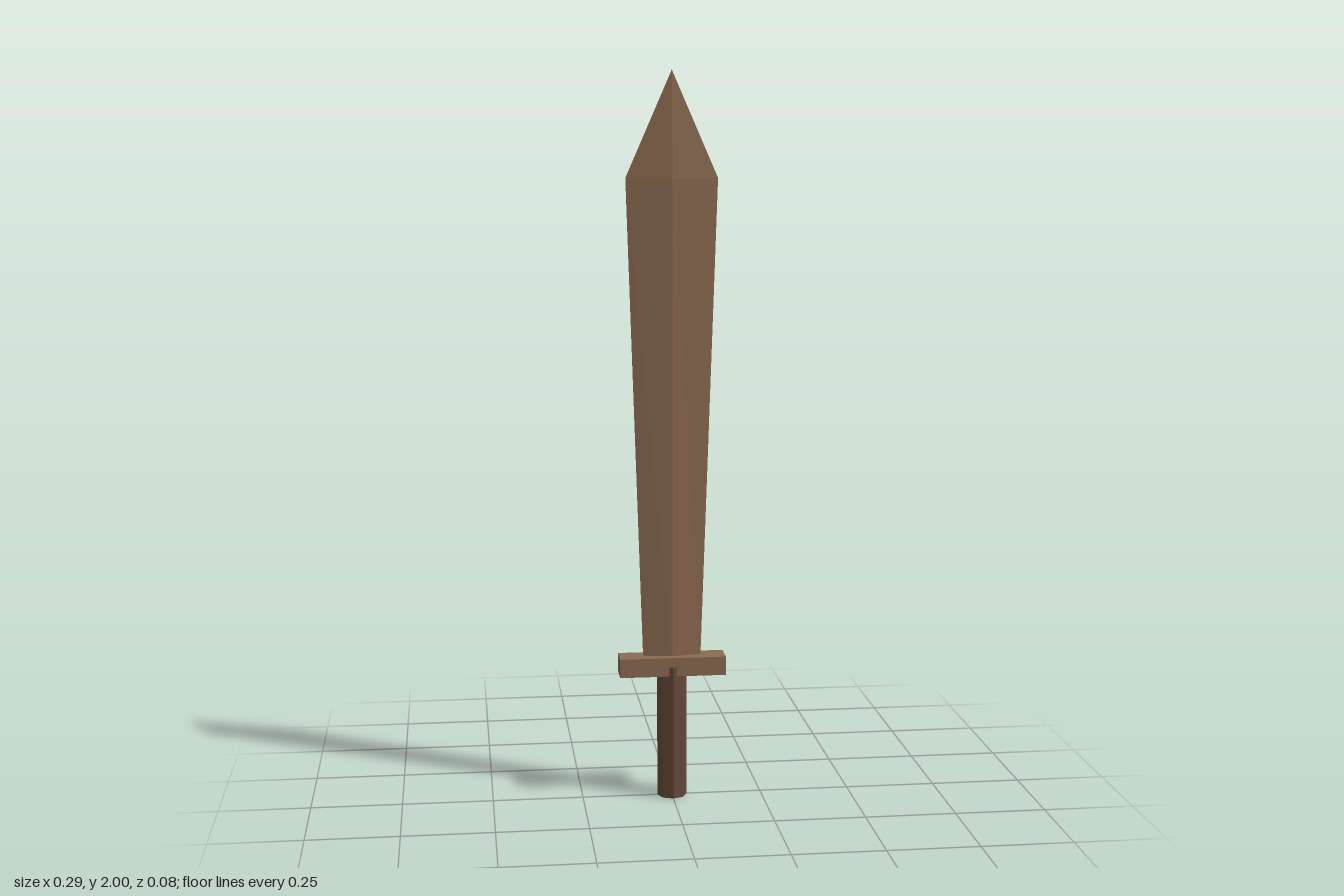
import * as THREE from 'three';

// Loft between diamond cross-sections [y, halfWidth, halfThickness]
function diamondLoft(sections) {
  const ring = ([y, w, t]) => [[w, y, 0], [0, y, t], [-w, y, 0], [0, y, -t]];
  const pos = [];
  const tri = (...pts) => pts.forEach((p) => pos.push(...p));
  for (let i = 0; i < sections.length - 1; i++) {
    const a = ring(sections[i]);
    const b = ring(sections[i + 1]);
    for (let k = 0; k < 4; k++) {
      const n = (k + 1) % 4;
      tri(a[k], b[n], a[n]);
      if (sections[i + 1][1] > 0) tri(a[k], b[k], b[n]);
    }
  }
  // bottom cap
  const base = ring(sections[0]);
  tri(base[0], base[1], base[2]);
  tri(base[0], base[2], base[3]);
  const geo = new THREE.BufferGeometry();
  geo.setAttribute('position', new THREE.Float32BufferAttribute(pos, 3));
  geo.computeVertexNormals();
  return geo;
}

export function createModel() {
  const group = new THREE.Group();
  const wood = new THREE.MeshStandardMaterial({ color: 0x8b6a50, flatShading: true });
  wood.name = 'wood';
  const darkWood = new THREE.MeshStandardMaterial({ color: 0x64493a, flatShading: true });
  darkWood.name = 'dark wood';

  const add = (name, geo, mat, y = 0) => {
    const mesh = new THREE.Mesh(geo, mat);
    mesh.name = name;
    mesh.position.y = y;
    group.add(mesh);
  };

  // Blade widens toward the shoulders, then tapers to a point
  add('blade', diamondLoft([[0.39, 0.08, 0.015], [1.715, 0.125, 0.015], [2, 0, 0]]), wood);

  // Crossguard
  add('guard', new THREE.BoxGeometry(0.294, 0.052, 0.073), wood, 0.376);

  // Eight-sided grip whose front and back edges pass the guard
  add('grip', new THREE.CylinderGeometry(0.041, 0.041, 0.376, 8), darkWood, 0.188);

  return group;
}
